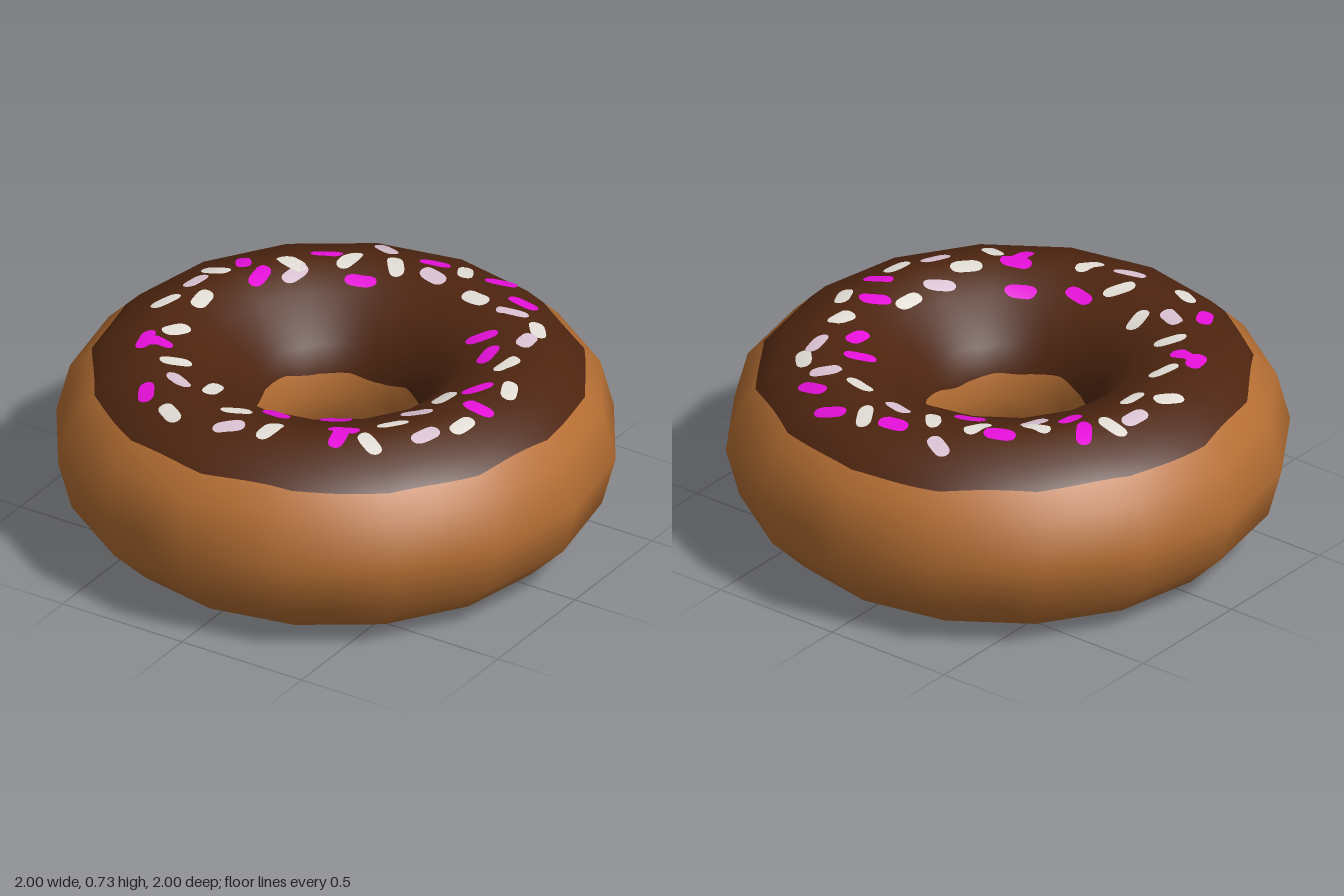
import * as THREE from 'three';
import { mergeGeometries } from 'three/addons/utils/BufferGeometryUtils.js';

const RING = 0.637, TUBE = 0.363, SIDES = 16, TUBE_SIDES = 12;
const STEP = (Math.PI * 2) / SIDES, TUBE_STEP = (Math.PI * 2) / TUBE_SIDES;

// Corner of the low-poly ring and its smooth normal; u runs round the ring, v round the tube.
function corner(u, v) {
  const a = u * STEP, b = v * TUBE_STEP;
  const normal = new THREE.Vector3(Math.cos(a) * Math.cos(b), Math.sin(b), Math.sin(a) * Math.cos(b));
  const p = new THREE.Vector3(Math.cos(a) * RING, TUBE, Math.sin(a) * RING).addScaledVector(normal, TUBE);
  return { p, normal };
}

// Any point on the flat facets, with the normal blended from the facet corners.
function surface(u, v, lift = 0) {
  const u0 = Math.floor(u), v0 = Math.floor(v), s = u - u0, t = v - v0;
  const mix = (key) => {
    const low = corner(u0, v0)[key].lerp(corner(u0 + 1, v0)[key], s);
    return low.lerp(corner(u0, v0 + 1)[key].lerp(corner(u0 + 1, v0 + 1)[key], s), t);
  };
  const normal = mix('normal').normalize();
  return { p: mix('p').addScaledVector(normal, lift), normal };
}

// Surface point on the top half directly above a given x, z.
function surfaceAbove(x, z, lift) {
  const angle = (Math.atan2(z, x) + Math.PI * 2) % (Math.PI * 2);
  const u = angle / STEP, s = u - Math.floor(u);
  // Radius measured out to the ring corners, then located along the tube profile
  const r = Math.hypot(x, z) * Math.cos((s - 0.5) * STEP) / Math.cos(STEP / 2);
  const radius = (k) => RING + TUBE * Math.cos(k * TUBE_STEP);
  let k = 0;
  while (k < 5 && radius(k + 1) > r) k++;
  const t = (radius(k) - r) / (radius(k) - radius(k + 1));
  // Mid-facet distance along a chord, so sprinkles stay where they are placed
  const along = 0.5 + Math.tan((s - 0.5) * STEP) / (2 * Math.tan(STEP / 2));
  return surface(Math.floor(u) + along, k + t, lift);
}

// Grid of points: columns by rows, facing outward.
function gridGeometry(cols, rows, at) {
  const positions = [], normals = [], index = [];
  for (let i = 0; i <= cols; i++) {
    for (let j = 0; j <= rows; j++) {
      const { p, normal } = at(i, j);
      positions.push(p.x, p.y, p.z);
      normals.push(normal.x, normal.y, normal.z);
      if (i < cols && j < rows) {
        const a = i * (rows + 1) + j, b = a + rows + 1;
        index.push(a, a + 1, b, a + 1, b + 1, b);
      }
    }
  }
  const g = new THREE.BufferGeometry();
  g.setAttribute('position', new THREE.Float32BufferAttribute(positions, 3));
  g.setAttribute('normal', new THREE.Float32BufferAttribute(normals, 3));
  g.setIndex(index);
  return g;
}

// Wavy outer and inner edges of the icing, as tube positions.
function outerEdge(u) {
  const a = u * STEP;
  return 1.52 - 0.04 * Math.cos(a) + 0.06 * Math.sin(a) + 0.03 * Math.sin(5 * a + 1) + 0.02 * Math.sin(11 * a);
}
function innerEdge(u) {
  const a = u * STEP;
  return 5.55 + 0.06 * Math.sin(3 * a + 0.5) + 0.04 * Math.sin(7 * a);
}

// Band of the ring whose rows are given as functions of u.
function band(rowsAt) {
  const fine = 10;
  const rows = rowsAt(0).length - 1;
  return gridGeometry(SIDES * fine, rows, (i, j) => surface(i / fine, rowsAt(i / fine)[j]));
}

// Thin rounded sprinkle draped over the icing.
function sprinkle(x, z, degrees) {
  const c = Math.cos(degrees * Math.PI / 180), s = Math.sin(degrees * Math.PI / 180);
  const cols = 12, rows = 4, halfLength = 0.058, halfWidth = 0.028;
  return gridGeometry(cols, rows, (i, j) => {
    const t = Math.sin((i / cols - 0.5) * Math.PI);
    const l = t * halfLength;
    const w = (j / rows * 2 - 1) * halfWidth * Math.sqrt(Math.max(0, 1 - t ** 4));
    return surfaceAbove(x + l * c - w * s, z + l * s + w * c, 0.004);
  });
}

// Sprinkles as x, z, turn in degrees
const PINK = [
  -0.03, -0.69, -10, 0.22, -0.73, -25, 0.37, -0.64, 0, -0.38, -0.53, -25, -0.2, -0.47, -20,
  -0.6, -0.33, 55, -0.5, -0.28, 85, 0.38, -0.36, -45, 0.47, -0.26, 85, 0.58, -0.02, -50,
  0.66, 0.1, -8, -0.54, 0.32, -5, -0.59, 0.32, 75, 0.25, 0.39, -30, 0.06, 0.48, 8,
  0.35, 0.49, -20, 0.36, 0.54, 80, -0.4, 0.61, 60,
];
const WHITE = [
  0.09, -0.7, 60, -0.13, -0.59, 50, 0.23, -0.55, 10, -0.29, -0.54, -80, 0.52, -0.5, 50,
  -0.45, -0.41, 0, -0.65, -0.23, 0, 0.58, -0.21, -80, 0.68, -0.07, 65, -0.58, -0.03, 85,
  -0.68, 0.05, -65, 0.5, 0.07, -85, -0.54, 0.2, -70, 0.67, 0.22, -85, 0.47, 0.36, -50,
  -0.42, 0.39, -45, -0.22, 0.46, 80, 0.47, 0.51, 25, -0.05, 0.57, -50, 0.13, 0.63, -75,
  -0.25, 0.69, 30,
];
const PALE = [
  -0.24, -0.7, 25, 0.02, -0.6, 15, 0.39, -0.54, -30, 0.54, -0.4, 80, -0.41, -0.37, -80,
  -0.67, -0.13, -85, 0.48, 0.22, -40, 0.6, 0.35, -70, -0.33, 0.51, 25, -0.01, 0.68, -30,
];

export function createModel() {
  const group = new THREE.Group();
  group.name = 'doughnut';
  const add = (name, geometry, materialName, color) => {
    const material = new THREE.MeshStandardMaterial({ color });
    material.name = materialName;
    const mesh = new THREE.Mesh(geometry, material);
    mesh.name = name;
    group.add(mesh);
  };
  const scatter = (list) => {
    const parts = [];
    for (let i = 0; i < list.length; i += 3) parts.push(sprinkle(list[i], list[i + 1], list[i + 2]));
    return mergeGeometries(parts);
  };

  // Dough below the icing edge, icing above it
  add('dough', band((u) => [innerEdge(u), 6, 7, 8, 9, 10, 11, 12, 13, outerEdge(u) + 12]), 'golden dough', 0xb56e33);
  add('icing', band((u) => [outerEdge(u), 2, 3, 4, 5, innerEdge(u)]), 'chocolate', 0x4e2510);

  // Sprinkles
  add('pinkSprinkles', scatter(PINK), 'bright pink', 0xe810dc);
  add('whiteSprinkles', scatter(WHITE), 'off white', 0xe4e0d8);
  add('palePinkSprinkles', scatter(PALE), 'pale pink', 0xdcc4d4);
  return group;
}
